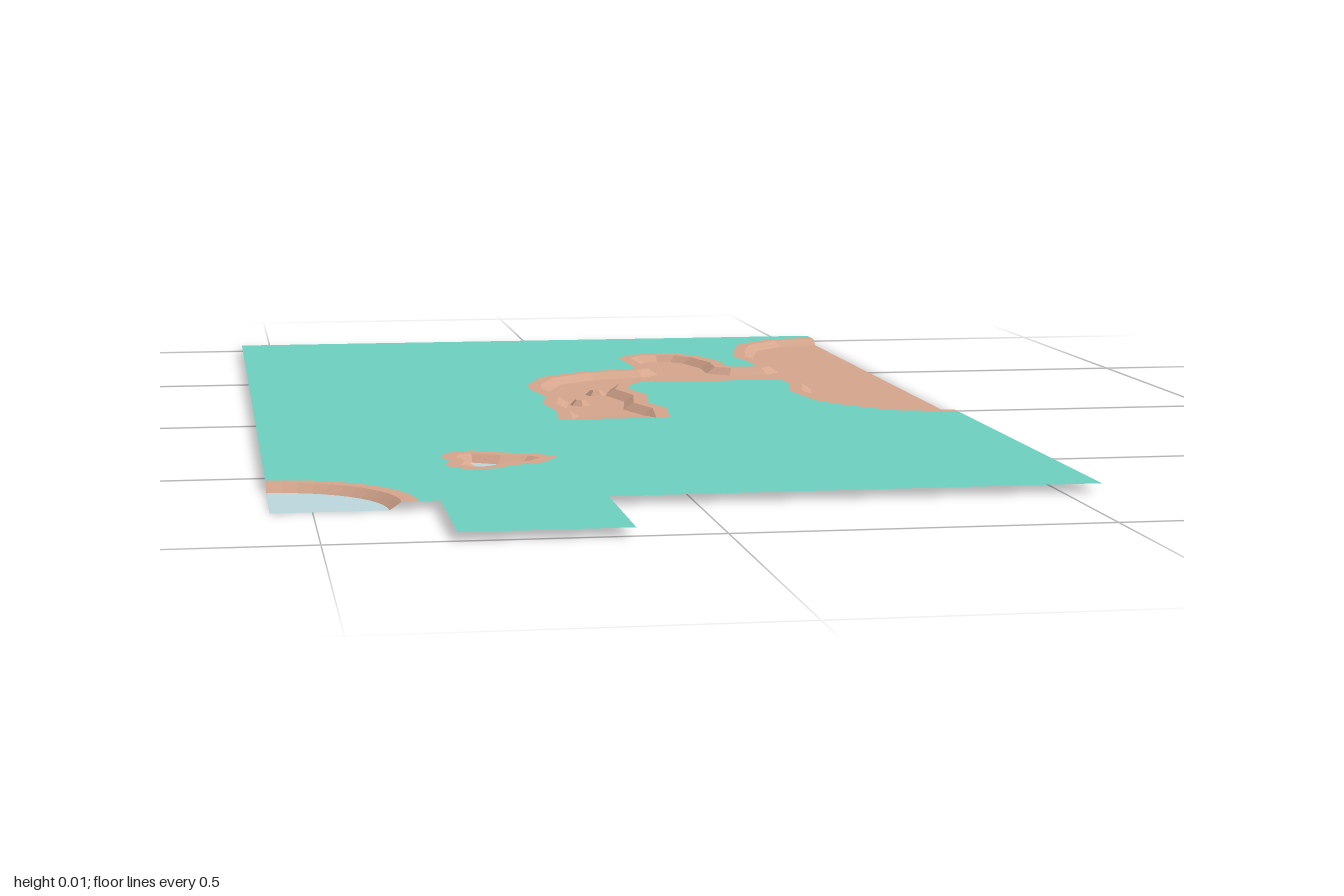
import * as THREE from 'three';

const TOP = 0.011, RIM = 0.022, SLOPE = 0.016;      // ground height, rim width, wall run
const X = 0.555, Z = 0.775, RAMP0 = -0.03, RAMP1 = 0.075;

const mat = (color) => new THREE.MeshStandardMaterial({ color, side: THREE.DoubleSide, flatShading: true });
const teal = mat(0x6dd0c0), tan = mat(0xd4a58c), water = mat(0xbcd7dc);

// floor height: flat, then ramping up to the ground at the open end of the channel
const flat = () => 0;
const rampY = (x, z) => (x < 0.2 ? TOP * THREE.MathUtils.clamp((z - RAMP0) / (RAMP1 - RAMP0), 0, 1) : 0);

// shifts an [x, z] line sideways (+ is into the pit); ends stay on the border they touch
function offset(pts, dist, closed = false) {
  const n = pts.length;
  const normal = (a, b) => new THREE.Vector2(b[1] - a[1], a[0] - b[0]).normalize();
  return pts.map((p, i) => {
    const prev = pts[closed ? (i + n - 1) % n : Math.max(i - 1, 0)];
    const next = pts[closed ? (i + 1) % n : Math.min(i + 1, n - 1)];
    const n1 = prev === p ? normal(p, next) : normal(prev, p);
    const n2 = next === p ? n1 : normal(p, next);
    const m = n1.clone().add(n2).normalize();
    const d = (typeof dist === 'function' ? dist(p) : dist) / Math.max(m.dot(n2), 0.6);
    const q = [p[0] + m.x * d, p[1] + m.y * d];
    if (!closed && Math.abs(p[0]) === X) q[0] = p[0];
    if (!closed && [Z, RAMP0, RAMP1].includes(p[1])) q[1] = p[1];
    return q;
  });
}

// band of quads between two lines
function strip(a, ya, b, yb, closed = false) {
  const pos = [], index = [], n = a.length;
  a.forEach((p, i) => pos.push(p[0], ya(...p), p[1], b[i][0], yb(...p), b[i][1]));
  for (let i = 0; i < (closed ? n : n - 1); i++) {
    const j = (i + 1) % n;
    index.push(2 * i, 2 * i + 1, 2 * j, 2 * j, 2 * i + 1, 2 * j + 1);
  }
  const g = new THREE.BufferGeometry();
  g.setAttribute('position', new THREE.Float32BufferAttribute(pos, 3));
  g.setIndex(index);
  g.computeVertexNormals();
  return g;
}

// horizontal polygon whose height follows a rule
function sheet(pts, y, holes = []) {
  const v = (l) => l.map(([x, z]) => new THREE.Vector2(x, -z));
  const shape = new THREE.Shape(v(pts));
  holes.forEach((h) => shape.holes.push(new THREE.Path(v(h))));
  const g = new THREE.ShapeGeometry(shape).rotateX(-Math.PI / 2);
  const p = g.attributes.position;
  for (let i = 0; i < p.count; i++) p.setY(i, y(p.getX(i), p.getZ(i)));
  g.computeVertexNormals();
  return g;
}

export function createModel() {
  const model = new THREE.Group();
  const add = (name, geometry, material) => {
    const mesh = new THREE.Mesh(geometry, material);
    mesh.name = name;
    model.add(mesh);
    return mesh;
  };
  const top = () => TOP;

  // upper edges of the pit walls
  const outerBank = [
    [X, -0.945], [0.475, -0.93], [0.41, -0.865], [0.38, -0.765], [0.365, -0.68], [0.378, -0.61], [0.378, -0.535],
    [0.36, -0.515], [0.305, -0.515], [0.28, -0.54], [0.283, -0.61], [0.262, -0.69], [0.238, -0.722], [0.205, -0.735],
    [0.17, -0.722], [0.15, -0.69], [0.155, -0.62], [0.158, -0.535], [0.135, -0.512], [0.045, -0.49], [-0.03, -0.43],
    [-0.062, -0.34], [-0.065, -0.29], [-0.05, -0.19], [-0.066, -0.11], [-0.055, RAMP0], [-0.064, RAMP1],
  ];
  const innerBank = [
    [0.068, RAMP1], [0.08, RAMP0], [0.06, -0.1], [0.075, -0.19], [0.056, -0.27], [0.075, -0.34], [0.105, -0.378],
    [0.16, -0.372], [0.23, -0.366], [0.29, -0.376], [0.36, -0.383], [0.38, -0.365], [0.385, -0.3], [0.365, -0.2],
    [0.38, -0.09], [0.405, -0.03], [0.465, 0.03], [X, 0.06],
  ];
  const pond = [
    [-0.255, 0.388], [-0.275, 0.397], [-0.28, 0.42], [-0.27, 0.45], [-0.28, 0.49], [-0.265, 0.509],
    [-0.245, 0.508], [-0.215, 0.483], [-0.18, 0.47], [-0.163, 0.44], [-0.178, 0.422], [-0.215, 0.412],
  ];
  const cornerPool = [];
  for (let i = 0; i <= 12; i++) {
    const a = (i / 12) * Math.PI / 2;
    cornerPool.push([i === 12 ? -X : -X + 0.17 * Math.cos(a), i === 0 ? Z : Z - 0.17 * Math.sin(a)]);
  }

  // ground with the pits cut out
  add('ground', sheet([
    [-X, -1], [X, -1], ...offset(outerBank, -RIM), ...offset(innerBank, -RIM),
    [X, Z], [-0.115, Z], [-0.115, 1], [-0.335, 1], [-0.335, Z], ...offset(cornerPool, -RIM),
  ], top, [offset(pond, -RIM, true)]), teal);

  // rim and sloping wall along each edge
  const depthInset = (p) => SLOPE * (1 - rampY(...p) / TOP);
  const edges = [
    ['canyonOuter', outerBank, false, rampY], ['canyonInner', innerBank, false, rampY],
    ['pond', pond, true, flat], ['cornerPool', cornerPool, false, flat],
  ];
  const feet = edges.map(([name, line, closed, y]) => {
    const foot = offset(line, y === rampY ? depthInset : SLOPE, closed);
    add(name + 'Rim', strip(line, top, offset(line, -RIM, closed), top, closed), tan);
    add(name + 'Wall', strip(foot, y, line, top, closed), tan);
    return foot;
  });

  // canyon floor and its ramp
  const [a, b, pondFoot, poolFoot] = feet;
  add('canyonFloor', sheet([...a.slice(0, -1), ...b.slice(1)], flat), tan);
  add('canyonRamp', sheet([...a.slice(-2), ...b.slice(0, 2)], rampY), tan);

  // water in the two small pits
  add('pondWater', sheet(pondFoot, flat), water);
  add('cornerPoolWater', sheet([...poolFoot, [-X, Z]], flat), water);

  // two low rocks in the canyon
  [[0.025, -0.28, 0.4], [-0.018, -0.163, 1.1]].forEach(([x, z, turn]) => {
    const rock = add('rock', new THREE.CylinderGeometry(0.009, 0.018, 0.009, 6), tan);
    rock.position.set(x, 0.0045, z);
    rock.rotation.y = turn;
  });
  return model;
}
